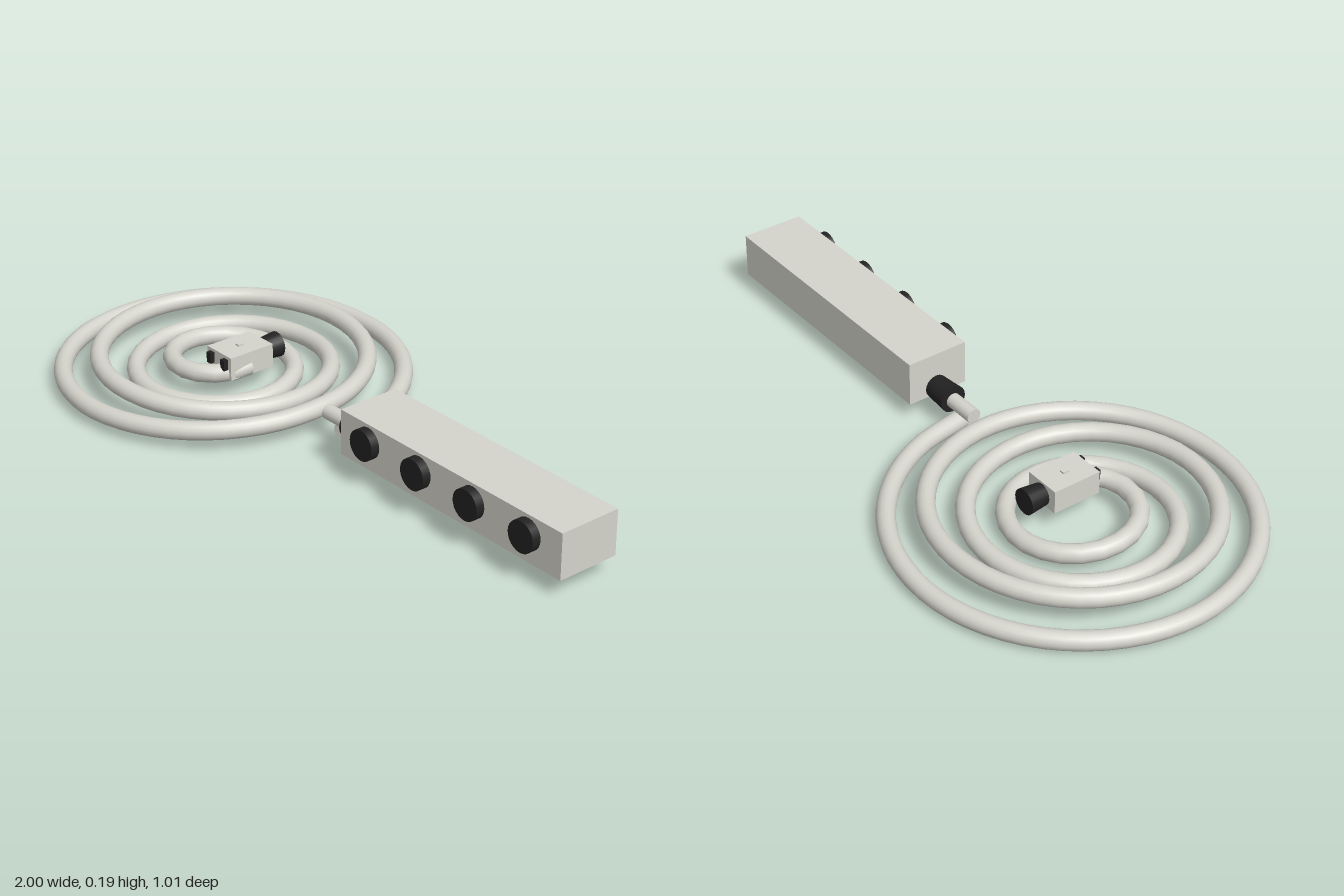
import * as THREE from 'three';

export function createModel() {
  const group = new THREE.Group();
  const casing = new THREE.MeshStandardMaterial({ color: 0xd4d3cb });
  const rubber = new THREE.MeshStandardMaterial({ color: 0x222222 });

  const add = (name, geometry, material, x, y, z) => {
    const mesh = new THREE.Mesh(geometry, material);
    mesh.name = name;
    mesh.position.set(x, y, z);
    group.add(mesh);
    return mesh;
  };

  // Coiled cable: a flat spiral of four turns, its height given every quarter turn
  const heights = [0.04, 0.03, 0.033, 0.045, 0.07, 0.08, 0.08, 0.075, 0.055,
    0.04, 0.035, 0.029, 0.03, 0.04, 0.06, 0.07, 0.08];
  const turns = 4, perTurn = 20, cableRadius = 0.027;
  const points = [];
  for (let i = 0; i <= turns * perTurn; i++) {
    const t = i / perTurn;
    const angle = t * Math.PI * 2;
    const r = 0.533 - 0.105 * t;
    const k = Math.min(Math.floor(t * 4), heights.length - 2);
    const y = THREE.MathUtils.lerp(heights[k], heights[k + 1], t * 4 - k);
    points.push(new THREE.Vector3(-0.4925 + r * Math.cos(angle), y, 0.019 - r * Math.sin(angle)));
  }
  const path = new THREE.CatmullRomCurve3(points);
  add('coiledCable', new THREE.TubeGeometry(path, 160, cableRadius, 16), casing, 0, 0, 0);

  // Discs closing both cable ends
  for (const [u, sign] of [[0, -1], [1, 1]]) {
    const p = path.getPointAt(u);
    const cap = add('cableEnd', new THREE.CircleGeometry(cableRadius, 16), casing, p.x, p.y, p.z);
    cap.lookAt(p.clone().addScaledVector(path.getTangentAt(u), sign));
  }

  // Socket block with a row of four round outlets on its front
  add('socketBlock', new THREE.BoxGeometry(0.84, 0.134, 0.19), casing, 0.58, 0.123, 0.025);
  for (let i = 0; i < 4; i++) {
    add('outlet', new THREE.CylinderGeometry(0.045, 0.045, 0.03, 24), rubber, 0.272 + i * 0.203, 0.136, 0.131)
      .rotation.x = Math.PI / 2;
  }

  // Strain relief and cable stub entering the socket block
  add('blockStrainRelief', new THREE.CylinderGeometry(0.035, 0.041, 0.08, 20), rubber, 0.12, 0.083, 0.02)
    .rotation.z = -Math.PI / 2;
  add('cableStub', new THREE.CylinderGeometry(0.022, 0.022, 0.1, 16), casing, 0.033, 0.08, 0.02)
    .rotation.z = -Math.PI / 2;

  // Plug resting in the middle of the coil
  add('plugBody', new THREE.BoxGeometry(0.11, 0.07, 0.15), casing, -0.415, 0.098, 0.019);
  add('plugStrainRelief', new THREE.CylinderGeometry(0.032, 0.038, 0.06, 20), rubber, -0.415, 0.095, -0.085)
    .rotation.x = -Math.PI / 2 + Math.PI;
  group.children.at(-1).rotation.x = -Math.PI / 2 + Math.PI;
  for (const side of [-1, 1]) {
    add('plugPin', new THREE.BoxGeometry(0.018, 0.032, 0.016), rubber, -0.415 + side * 0.032, 0.108, 0.1);
  }
  add('plugNub', new THREE.BoxGeometry(0.014, 0.006, 0.02), casing, -0.415, 0.135, 0.02);

  return group;
}
